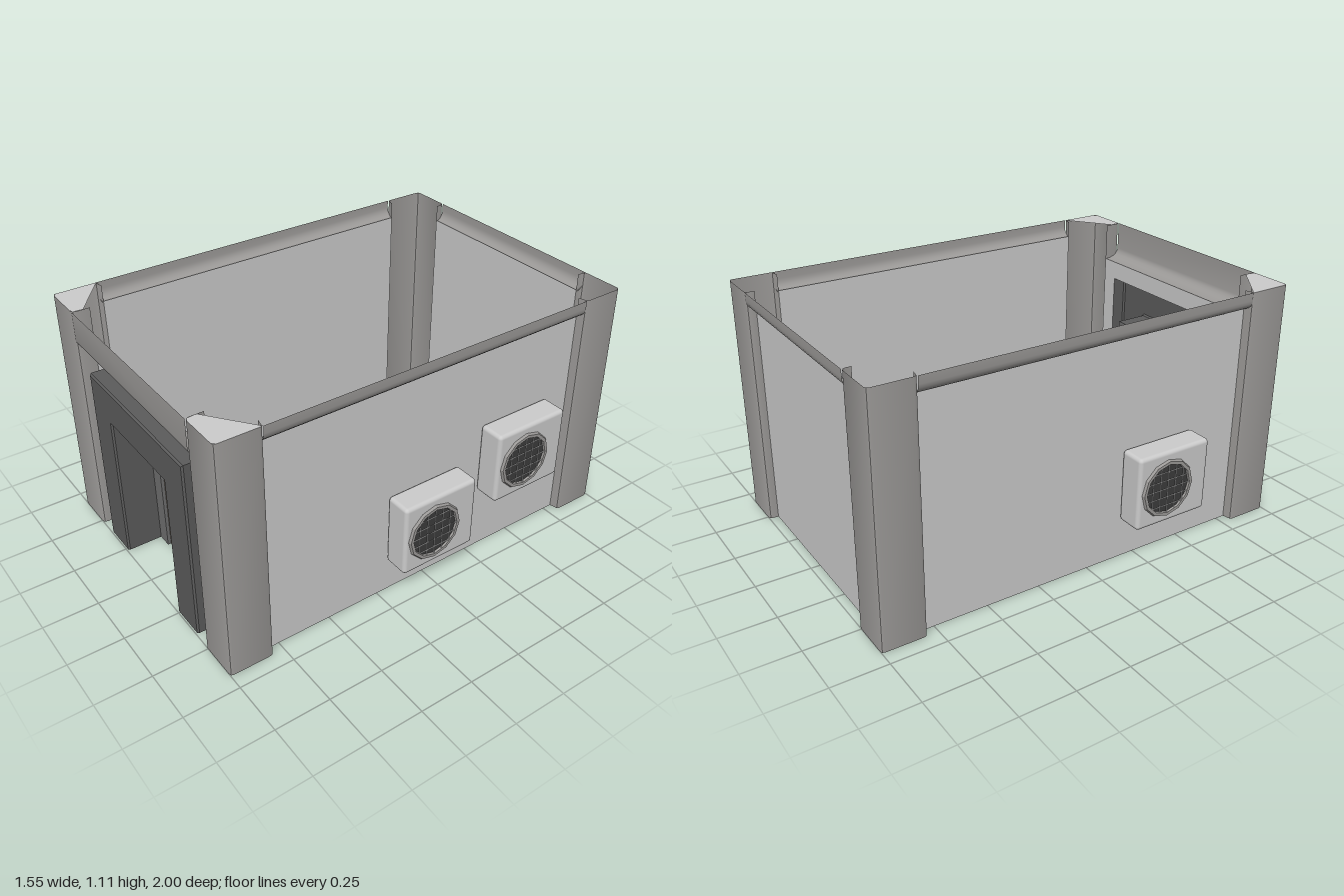
import * as THREE from 'three';
import { toCreasedNormals } from 'three/addons/utils/BufferGeometryUtils.js';
import { RoundedBoxGeometry } from 'three/addons/geometries/RoundedBoxGeometry.js';

const TOP = 1.11, HX = 0.68, HZ = 1;
const mat = (color) => new THREE.MeshStandardMaterial({ color, side: THREE.DoubleSide });
const LIGHT = mat(0xcccccc), TRIM = mat(0x9c9a98), DARK = mat(0x5c5c5c);
const MID = mat(0x6f6f6f), DOOR = mat(0x857a6e), GRILLE = mat(0x3c3c3c);

function add(parent, name, geometry, material, x = 0, y = 0, z = 0) {
  const mesh = new THREE.Mesh(geometry, material);
  mesh.name = name;
  mesh.position.set(x, y, z);
  parent.add(mesh);
  return mesh;
}

// Surface stretched over rows of [x, y, z] points
function sheet(rows, crease = 0.7) {
  const n = rows[0].length, index = [];
  for (let i = 0; i < rows.length - 1; i++) {
    for (let j = 0; j < n - 1; j++) {
      const a = i * n + j, d = a + n;
      index.push(a, a + 1, d + 1, a, d + 1, d);
    }
  }
  const g = new THREE.BufferGeometry();
  g.setAttribute('position', new THREE.Float32BufferAttribute(rows.flat(2), 3));
  g.setIndex(index);
  return toCreasedNormals(g, crease);
}

// Door surround made of nested arches [half width, top, z]
const arches = (steps) => sheet(steps.map(([w, h, z]) => [[w, 0, z], [w, h, z], [-w, h, z], [-w, 0, z]]), 0.3);

// Top beam with a curved underside
function beam(half, dist, depth, drop) {
  const r = 0.045, profile = [[TOP, dist]];
  for (let i = 0; i <= 5; i++) {
    const a = (i / 5) * Math.PI / 2;
    profile.push([TOP - drop + r * (1 - Math.sin(a)), dist - depth * (1 - Math.cos(a))]);
  }
  return sheet([-half, half].map((x) => profile.map(([y, z]) => [x, y, z])));
}

// Plain wall with its beam, turned to face one side
function wall(parent, name, half, dist, turn) {
  const g = new THREE.Group();
  g.name = name;
  g.rotation.y = turn;
  parent.add(g);
  add(g, 'wallPanel', new THREE.PlaneGeometry(half * 2, 1.035), LIGHT, 0, 0.5175, dist - 0.042);
  add(g, 'topBeam', beam(half + 0.005, dist, 0.042, 0.08), TRIM);
}

// Corner post: open angle section with rounded edges; front posts get a cap
function post(parent, sx, sz) {
  const inner = sz > 0 ? 0.92 : 0.958;
  const plan = [[0.48, inner], [0.48, 0.98], [0.484, 0.993], [0.495, HZ], [0.665, HZ], [0.676, 0.996],
    [HX, 0.985], [HX, 0.815], [0.675, 0.803], [0.638, 0.795]];
  const outer = [[0.484, 0.994], [0.5, HZ], [0.666, HZ], [HX, 0.986], [HX, 0.8]];
  const chord = outer.map((_, i) => [0.48 + 0.05 * i, 0.95 - 0.0375 * i]);
  const row = (pts, y) => {
    const r = pts.map(([x, z]) => [x * sx, y, z * sz]);
    return sx * sz < 0 ? r.reverse() : r;
  };
  add(parent, 'cornerPost', sheet([row(plan, 0), row(plan, TOP)]), TRIM);
  if (sz > 0) add(parent, 'postCap', sheet([row(outer, TOP), row(chord, TOP)]), LIGHT);
}

// Wall unit: rounded box, twelve-sided ring, dark fan opening, wire grid
function coolingUnit(parent, x, y, z) {
  const g = new THREE.Group();
  g.name = 'coolingUnit';
  g.position.set(x, y, z);
  g.rotation.y = Math.sign(x) * Math.PI / 2;
  parent.add(g);
  add(g, 'casing', new RoundedBoxGeometry(0.375, 0.34, 0.122, 2, 0.018), LIGHT, 0, 0, 0.061);
  const fan = new THREE.Group();
  fan.name = 'fan';
  fan.position.set(-0.035, -0.002, 0.122);
  g.add(fan);
  const ring = [[0.137, -0.003], [0.13, 0.011], [0.116, 0.011], [0.112, -0.002]]
    .map(([r, h]) => new THREE.Vector2(r, h));
  const rim = toCreasedNormals(new THREE.LatheGeometry(ring, 12), 0.3);
  add(fan, 'fanRing', rim, TRIM).rotation.x = Math.PI / 2;
  add(fan, 'fanOpening', new THREE.CircleGeometry(0.116, 12), GRILLE, 0, 0, 0.002);
  for (let i = -2; i <= 2; i++) {
    const p = i * 0.04, len = 2 * Math.sqrt(0.115 ** 2 - p * p);
    add(fan, 'gridBar', new THREE.BoxGeometry(len, 0.003, 0.003), LIGHT, 0, p, 0.007);
    add(fan, 'gridBar', new THREE.BoxGeometry(0.003, len, 0.003), LIGHT, p, 0, 0.007);
  }
}

// Front wall with the stepped doorway
function entrance(parent) {
  const g = new THREE.Group();
  g.name = 'entrance';
  parent.add(g);
  add(g, 'frontBeam', beam(0.485, HZ, 0.08, 0.175), TRIM);
  add(g, 'frontPanel', arches([[0.48, 0.937, 0.92], [0.4, 0.85, 0.92]]), LIGHT);
  add(g, 'doorSurround', arches([[0.403, 0.853, 0.92], [0.403, 0.853, 0.985], [0.396, 0.846, 0.993],
    [0.242, 0.692, 0.993], [0.235, 0.685, 0.985], [0.235, 0.685, 0.83]]), DARK);
  add(g, 'doorFrame', arches([[0.235, 0.685, 0.83], [0.166, 0.62, 0.83], [0.166, 0.62, 0.815]]), MID);
  add(g, 'door', new THREE.PlaneGeometry(0.332, 0.62), DOOR, 0, 0.31, 0.815);
  // Handle: plate with a slot and an upright grip
  add(g, 'handlePlate', new THREE.BoxGeometry(0.04, 0.115, 0.016), LIGHT, 0.11, 0.335, 0.817);
  add(g, 'handleSlot', new THREE.BoxGeometry(0.018, 0.075, 0.002), GRILLE, 0.11, 0.335, 0.826);
  add(g, 'handleGrip', new THREE.BoxGeometry(0.009, 0.062, 0.012), LIGHT, 0.11, 0.335, 0.832);
}

export function createModel() {
  const model = new THREE.Group();
  model.name = 'building';
  for (const sx of [-1, 1]) for (const sz of [-1, 1]) post(model, sx, sz);
  wall(model, 'leftWall', 0.795, HX, Math.PI / 2);
  wall(model, 'rightWall', 0.795, HX, -Math.PI / 2);
  wall(model, 'backWall', 0.48, HZ, Math.PI);
  entrance(model);
  coolingUnit(model, 0.64, 0.337, 0.018);
  coolingUnit(model, 0.64, 0.495, -0.472);
  coolingUnit(model, -0.64, 0.36, 0.352);
  return model;
}
